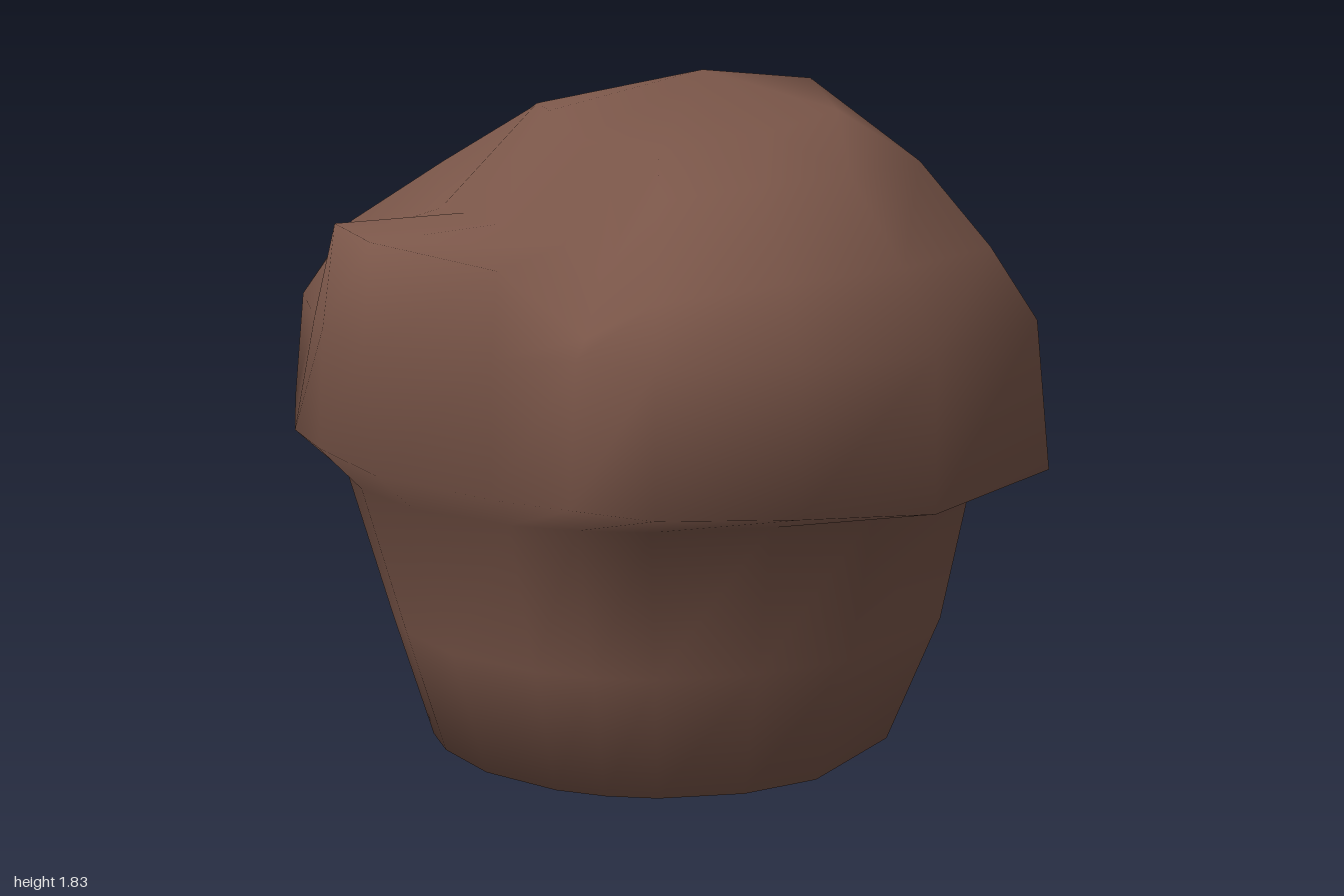
import * as THREE from 'three';

// Skin a stack of rings (bottom to top) with shared vertices, closed by a pole at each end.
function skin(rings, bottomPole, topPole) {
  const n = rings[0].length;
  const points = [...rings.flat(), bottomPole, topPole];
  const last = (rings.length - 1) * n;
  const index = [];
  for (let i = 0; i < n; i++) {
    const j = (i + 1) % n;
    for (let r = 0; r < last; r += n) {
      index.push(r + i, r + j, r + j + n, r + i, r + j + n, r + i + n);
    }
    index.push(points.length - 2, j, i);
    index.push(last + i, last + j, points.length - 1);
  }
  const geometry = new THREE.BufferGeometry();
  geometry.setAttribute('position', new THREE.Float32BufferAttribute(points.flat(), 3));
  geometry.setIndex(index);
  geometry.computeVertexNormals();
  return geometry;
}

export function createModel() {
  const group = new THREE.Group();
  group.name = 'muffin';
  const brown = new THREE.MeshStandardMaterial({ color: 0x795548 });
  brown.name = 'bakedBrown';

  // One column per outline corner: rim x, rim z, belly scale,
  // then scale and height of the shoulder, the crown and the summit
  const columns = [
    // front dome
    [0.0, 1.0, 1.0, 0.9, 1.38, 0.73, 1.6, 0.42, 1.69],
    [0.36, 1.0, 0.99, 0.88, 1.4, 0.7, 1.61, 0.42, 1.7],
    [0.88, 0.6, 0.96, 0.84, 1.39, 0.66, 1.61, 0.45, 1.74],
    // right lump, lower than the dome
    [0.99, 0.08, 0.95, 0.89, 1.4, 0.65, 1.5, 0.42, 1.81],
    [0.9, -0.42, 0.98, 0.89, 1.41, 0.61, 1.5, 0.43, 1.77],
    // back lump
    [0.7, -0.73, 0.91, 0.8, 1.41, 0.6, 1.53, 0.46, 1.7],
    [0.33, -0.98, 0.98, 0.92, 1.39, 0.46, 1.61, 0.41, 1.7],
    [-0.15, -1.0, 0.97, 0.95, 1.38, 0.45, 1.61, 0.4, 1.69],
    [-0.56, -0.9, 0.98, 0.9, 1.41, 0.5, 1.6, 0.4, 1.69],
    [-0.92, -0.54, 0.97, 0.83, 1.41, 0.58, 1.58, 0.38, 1.7],
    // groove, then the flat-topped left lump
    [-1.0, -0.12, 0.94, 0.87, 1.4, 0.6, 1.48, 0.36, 1.74],
    [-0.98, 0.1, 0.98, 0.94, 1.47, 0.58, 1.48, 0.37, 1.76],
    [-0.9, 0.42, 1.03, 1.0, 1.46, 0.59, 1.47, 0.41, 1.75],
    [-0.68, 0.7, 0.99, 0.95, 1.41, 0.6, 1.43, 0.48, 1.69],
    // groove beside the dome
    [-0.52, 0.83, 0.94, 0.84, 1.24, 0.69, 1.37, 0.52, 1.67],
    [-0.35, 0.96, 0.99, 0.89, 1.34, 0.7, 1.56, 0.5, 1.66],
  ];

  // Round cup section along the same columns, wider to left, right, or front and back
  const cupRing = (y, left, right, depth) => columns.map(([x, z]) => {
    const r = Math.hypot(x, z);
    return [(x > 0 ? left : right) * x / r, y, depth * z / r];
  });
  const rings = [
    // tapering cup
    cupRing(0.015, 0.64, 0.65, 0.65),
    cupRing(0.36, 0.8, 0.755, 0.735),
    cupRing(0.765, 0.875, 0.87, 0.825),
    // overhanging rim, belly, shoulder, crown, summit
    columns.map(([x, z]) => [x, 0.85 - 0.04 * x - 0.025 * z, z]),
    columns.map(([x, z, s]) => [x * s, 1.2, z * s]),
    columns.map(([x, z, , s, y]) => [x * s, y, z * s]),
    columns.map(([x, z, , , , s, y]) => [x * s, y, z * s]),
    columns.map(([x, z, , , , , , s, y]) => [x * s, y, z * s]),
  ];

  // Cup and lumpy top share one smooth skin
  const body = new THREE.Mesh(skin(rings, [0, 0, 0], [0.15, 1.83, -0.1]), brown);
  body.name = 'muffinBody';
  group.add(body);

  return group;
}
